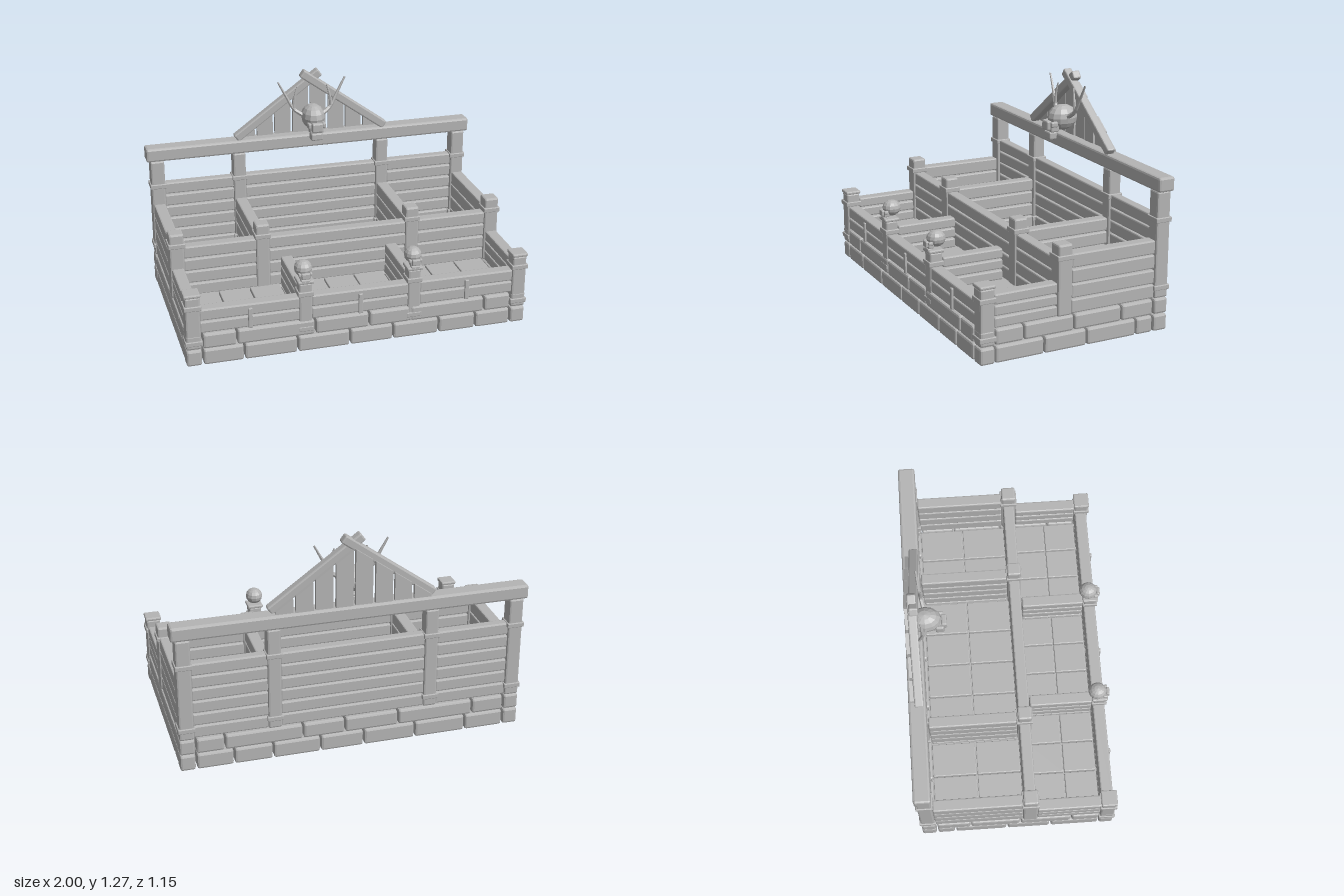
import * as THREE from 'three';
import { RoundedBoxGeometry } from 'three/addons/geometries/RoundedBoxGeometry.js';

export function createModel() {
  const root = new THREE.Group();
  const grey = new THREE.MeshStandardMaterial({ color: 0xb4b4b4, flatShading: true });
  grey.name = 'plain grey';

  const add = (name, geometry, x, y, z, parent = root) => {
    const mesh = new THREE.Mesh(geometry, grey);
    mesh.name = name;
    mesh.position.set(x, y, z);
    parent.add(mesh);
    return mesh;
  };
  // chamfered block given by its extents on each axis
  const block = (name, [x0, x1], [y0, y1], [z0, z1], bevel = 0.01) => {
    const w = x1 - x0, h = y1 - y0, d = z1 - z0;
    const r = Math.min(bevel, w / 3, h / 3, d / 3);
    return add(name, new RoundedBoxGeometry(w, h, d, 1, r), (x0 + x1) / 2, (y0 + y1) / 2, (z0 + z1) / 2);
  };

  // ---- stone foundation: two courses with staggered joints
  const courses = [[0, 0.094], [0.099, 0.188]];
  const frontJoints = [
    [-0.89, -0.66, -0.36, -0.06, 0.19, 0.46, 0.68, 0.89],
    [-0.89, -0.7, -0.26, 0.05, 0.29, 0.73, 0.89]];
  const sideJoints = [
    [-0.485, -0.378, -0.073, 0.182, 0.47],
    [-0.485, -0.285, 0.005, 0.303, 0.47]];
  courses.forEach((y, c) => {
    const run = (joints, place) => {
      for (let i = 0; i < joints.length - 1; i++) place([joints[i] + 0.004, joints[i + 1] - 0.004]);
    };
    for (const z of [[0.472, 0.555], [-0.573, -0.49]]) {
      run(frontJoints[c], (x) => block('foundationStone', x, y, z, 0.012));
      for (const x of [[-0.98, -0.895], [0.895, 0.98]]) block('cornerStone', x, y, z, 0.012);
    }
    for (const x of [[-0.978, -0.897], [0.897, 0.978]])
      run(sideJoints[c], (z) => block('sideStone', x, y, z, 0.012));
    run(frontJoints[c], (x) => block('crossStone', x, y, [0.025, 0.1], 0.012));
  });
  block('basePlate', [-0.9, 0.9], [0.012, 0.17], [-0.5, 0.48], 0.005);
  for (const s of [-1, 1]) {
    block('dividerFooting', [s * 0.445 - 0.035, s * 0.445 + 0.035], [0.002, 0.188], [-0.485, 0.02]);
    block('dividerFooting', [s * 0.312 - 0.035, s * 0.312 + 0.035], [0.002, 0.188], [0.105, 0.468]);
  }

  // ---- floor tiles
  const tiles = (x0, x1, nx, z0, z1) => {
    const w = (x1 - x0) / nx, d = (z1 - z0) / 2;
    for (let i = 0; i < nx; i++) for (let j = 0; j < 2; j++)
      block('floorTile', [x0 + i * w + 0.003, x0 + (i + 1) * w - 0.003], [0.165, 0.2],
        [z0 + j * d + 0.003, z0 + (j + 1) * d - 0.003], 0.005);
  };
  tiles(-0.4, 0.4, 4, -0.49, 0.03);
  tiles(-0.27, 0.27, 3, 0.09, 0.47);
  for (const [a, b, c, d] of [[0.49, 0.89, -0.49, 0.03], [0.35, 0.89, 0.09, 0.47]]) {
    tiles(a, b, c < 0 ? 2 : 3, c, d);
    tiles(-b, -a, c < 0 ? 2 : 3, c, d);
  }

  // ---- posts with metal straps
  const post = (name, x, z, y0, y1, half, straps) => {
    block(name, [x - half, x + half], [y0, y1], [z - half, z + half], 0.01);
    for (const y of straps)
      block('postStrap', [x - half - 0.007, x + half + 0.007], [y - 0.014, y + 0.014],
        [z - half - 0.007, z + half + 0.007], 0.004);
  };
  for (const s of [-1, 1]) {
    post('backCornerPost', s * 0.937, -0.532, 0.19, 0.79, 0.041, [0.25, 0.632]);
    post('backInnerPost', s * 0.445, -0.532, 0.19, 0.79, 0.038, [0.25, 0.632]);
    post('middleCornerPost', s * 0.937, 0.063, 0.19, 0.583, 0.042, [0.512]);
    post('middleInnerPost', s * 0.445, 0.063, 0.19, 0.583, 0.04, [0.512]);
    post('frontCornerPost', s * 0.937, 0.513, 0.1, 0.415, 0.041, [0.138, 0.35]);
    post('gatePost', s * 0.312, 0.513, 0.1, 0.415, 0.037, [0.138, 0.35]);
    for (const x of [0.937, 0.312])
      block('postCap', [s * x - 0.046, s * x + 0.046], [0.412, 0.432], [0.467, 0.559], 0.007);
  }

  // ---- plank walls, each plank very slightly out of level
  let count = 0;
  const wall = (name, xs, zs, y0, y1, n) => {
    const h = (y1 - y0) / n, alongX = xs[1] - xs[0] > zs[1] - zs[0];
    for (let i = 0; i < n; i++) {
      const plank = block(name, xs, [y0 + i * h + 0.003, y0 + (i + 1) * h - 0.003], zs, 0.008);
      const tilt = [0.004, -0.003, 0.001, -0.005][count++ % 4];
      plank.rotation[alongX ? 'z' : 'x'] = tilt;
    }
  };
  const spans = [[-0.9, -0.48], [-0.41, 0.41], [0.48, 0.9]];
  for (const x of spans) {
    wall('backPlank', x, [-0.56, -0.505], 0.19, 0.645, 6);
    wall('middlePlank', x, [0.03, 0.095], 0.19, 0.5, 4);
  }
  for (const x of [[-0.9, -0.345], [-0.278, 0.278], [0.345, 0.9]]) {
    wall('frontPlank', x, [0.475, 0.545], 0.19, 0.335, 2);
    const c = (x[0] + x[1]) / 2;
    block('frontCleat', [c - 0.012, c + 0.012], [0.19, 0.31], [0.54, 0.556], 0.004);
  }
  for (const s of [-1, 1]) {
    const across = (x) => [s * x - 0.034, s * x + 0.034];
    wall('rearSidePlank', across(0.937), [-0.49, 0.02], 0.19, 0.525, 4);
    wall('rearDividerPlank', across(0.445), [-0.49, 0.02], 0.19, 0.51, 4);
    wall('frontSidePlank', across(0.937), [0.105, 0.47], 0.19, 0.38, 3);
    wall('frontDividerPlank', across(0.312), [0.105, 0.47], 0.19, 0.38, 3);
  }

  // ---- top beam
  block('topBeam', [-1, 1], [0.79, 0.872], [-0.58, -0.484], 0.012);

  // ---- gable: crossed rafters over vertical boards
  const slope = Math.atan2(0.37, 0.51);
  for (const s of [-1, 1]) {
    const rafter = add('rafter', new RoundedBoxGeometry(0.635, 0.05, 0.05, 1, 0.008),
      s * 0.202, 1.066, -0.516 + s * 0.004);
    rafter.rotation.z = -s * slope;
  }
  const roofY = (x) => 1.2 - Math.abs(x) * 0.725;
  for (let i = 0; i < 8; i++) {
    const a = -0.44 + i * 0.11 + 0.007, b = a + 0.096;
    const shape = new THREE.Shape();
    shape.moveTo(a, 0.865);
    shape.lineTo(b, 0.865);
    shape.lineTo(b, Math.max(roofY(b), 0.87));
    shape.lineTo(a, Math.max(roofY(a), 0.87));
    add('gableBoard', new THREE.ExtrudeGeometry(shape, { depth: 0.02, bevelEnabled: false }),
      0, 0, -0.567 + (i % 2) * 0.005);
  }

  // ---- carved skulls; sized in units of the cranium radius
  const skull = (name, x, y, z, [rx, ry, rz]) => {
    const g = new THREE.Group();
    g.name = name;
    g.position.set(x, y, z);
    root.add(g);
    add('cranium', new THREE.SphereGeometry(1, 12, 8), 0, 0, 0, g).scale.set(rx, ry, rz);
    const part = (n, w, h, d, px, py, pz) =>
      add(n, new RoundedBoxGeometry(w * rx, h * ry, d * rz, 1, 0.12 * rx), px * rx, py * ry, pz * rz, g);
    part('face', 1.2, 0.75, 0.6, 0, -0.65, 0.75);
    part('muzzle', 0.95, 0.75, 0.35, 0, -0.5, 1.12);
    part('jaw', 1.05, 0.6, 0.55, 0, -1.3, 0.85);
    for (const s of [-1, 1]) part('cheek', 0.3, 0.45, 0.5, s * 0.62, -0.4, 0.85);
    return g;
  };
  for (const s of [-1, 1]) skull('gateSkull', s * 0.314, 0.487, 0.498, [0.05, 0.047, 0.054]);
  skull('gableSkull', 0, 0.995, -0.46, [0.07, 0.076, 0.092]);

  // ---- antlers
  const tine = (points, r) => {
    const curve = new THREE.CatmullRomCurve3(points.map((p) => new THREE.Vector3(...p)));
    const n = 8, geo = new THREE.TubeGeometry(curve, n, r, 6);
    const pos = geo.attributes.position, v = new THREE.Vector3();
    // taper towards the tip
    for (let i = 0; i < pos.count; i++) {
      const t = Math.floor(i / 7) / n, c = curve.getPointAt(t);
      v.fromBufferAttribute(pos, i).sub(c).multiplyScalar(1 - 0.6 * t).add(c);
      pos.setXYZ(i, v.x, v.y, v.z);
    }
    add('antler', geo, 0, 0, 0);
  };
  for (const s of [-1, 1]) {
    tine([[s * 0.05, 1.0, -0.46], [s * 0.11, 1.04, -0.475], [s * 0.16, 1.13, -0.485], [s * 0.205, 1.215, -0.49]], 0.014);
    tine([[s * 0.115, 1.05, -0.475], [s * 0.108, 1.11, -0.475], [s * 0.09, 1.18, -0.48]], 0.011);
  }

  return root;
}
